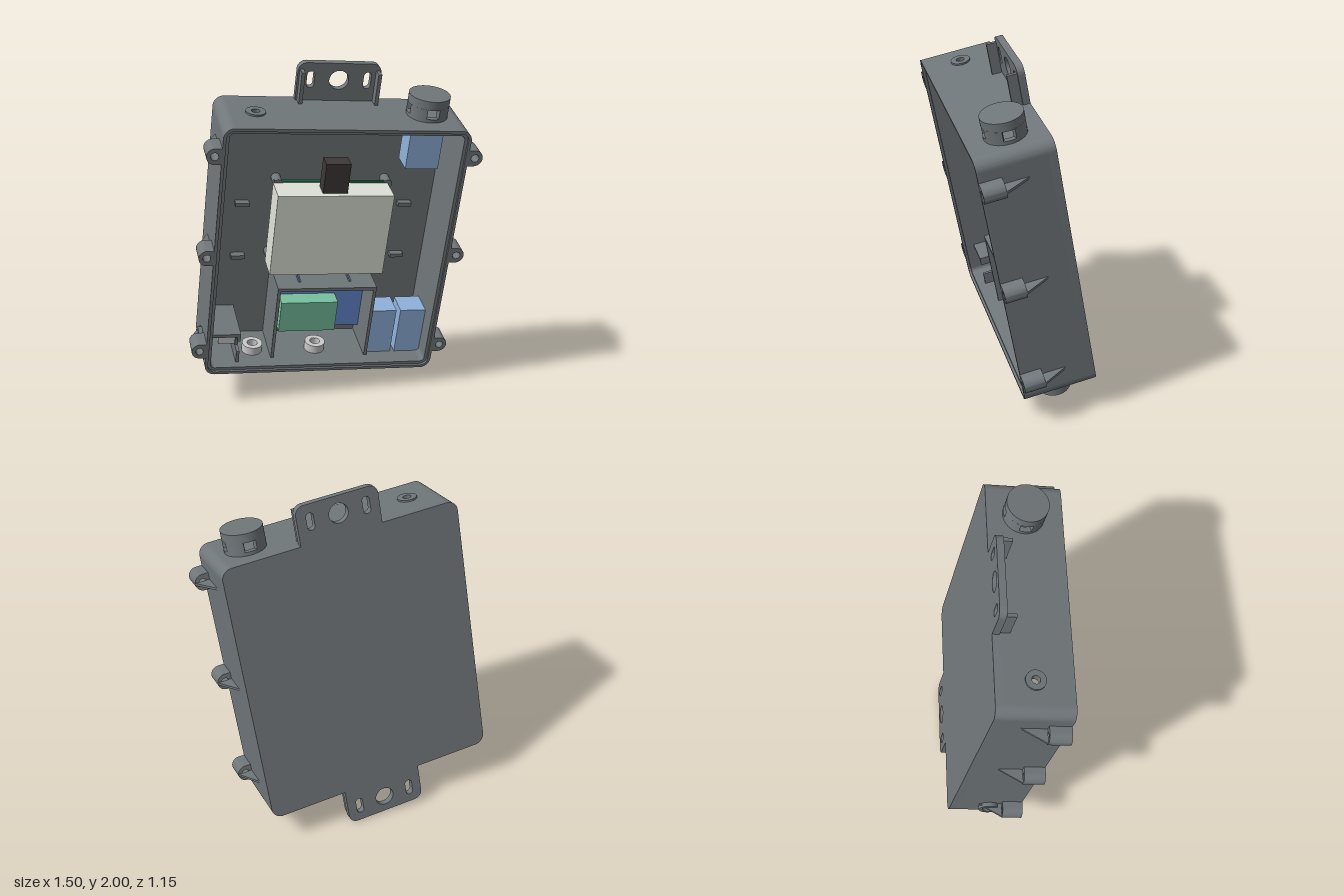
import * as THREE from 'three';
import { toCreasedNormals } from 'three/addons/utils/BufferGeometryUtils.js';

const mat = (color) => new THREE.MeshStandardMaterial({ color });
const M = {
  shell: mat(0x70777a), cream: mat(0xdfe2d8), block: mat(0x3d3836), board: mat(0x1f7a4a),
  blue: mat(0x8fb2dc), panel: mat(0x6488d0), green: mat(0x78c0a0), pale: mat(0xcccccc),
};
// Housing centre, half sizes, wall and corner radius
const CX = 0.037, CY = -0.036, HW = 0.68, HH = 0.783, T = 0.035, R = 0.06;
const BACK = -0.223, FLOOR = -0.18, LIP = 0.18, FRONT = 0.195;

function roundRect(Type, hw, hh, r, cx = 0, cy = 0) {
  const s = new Type();
  s.absarc(cx + hw - r, cy + hh - r, r, 0, Math.PI / 2);
  s.absarc(cx - hw + r, cy + hh - r, r, Math.PI / 2, Math.PI);
  s.absarc(cx - hw + r, cy - hh + r, r, Math.PI, Math.PI * 1.5);
  s.absarc(cx + hw - r, cy - hh + r, r, Math.PI * 1.5, Math.PI * 2);
  s.closePath();
  return s;
}
const circle = (x, y, r) => new THREE.Path().absarc(x, y, r, 0, Math.PI * 2, true);
const extrude = (shape, depth) => toCreasedNormals(
  new THREE.ExtrudeGeometry(shape, { depth, bevelEnabled: false, curveSegments: 16 }), 0.6);

export function createModel() {
  const root = new THREE.Group();
  root.name = 'equipmentEnclosure';
  const body = new THREE.Group();
  body.name = 'tiltedAssembly';
  // Leaning forward and turned sideways
  body.rotation.set(THREE.MathUtils.degToRad(12), THREE.MathUtils.degToRad(-20), 0);
  body.position.y = 1;
  root.add(body);

  const add = (name, geo, m = M.shell, x = 0, y = 0, z = 0, parent = body) => {
    const mesh = new THREE.Mesh(geo, m);
    mesh.name = name;
    mesh.position.set(x, y, z);
    parent.add(mesh);
    return mesh;
  };
  // Box given by its limits
  const box = (name, m, x0, x1, y0, y1, z0, z1) => add(name,
    new THREE.BoxGeometry(x1 - x0, y1 - y0, z1 - z0), m, (x0 + x1) / 2, (y0 + y1) / 2, (z0 + z1) / 2);
  const rectShape = (x0, x1, y0, y1) => new THREE.Shape([
    new THREE.Vector2(x0, y0), new THREE.Vector2(x1, y0), new THREE.Vector2(x1, y1), new THREE.Vector2(x0, y1)]);
  // Hollow upright ring standing at height y
  const ring = (name, x, y, z, r, hole, h, m = M.shell) => {
    const s = new THREE.Shape().absarc(0, 0, r, 0, Math.PI * 2);
    s.holes.push(circle(0, 0, hole));
    return add(name, extrude(s, h).rotateX(-Math.PI / 2), m, x, y, z);
  };

  // Back plate
  add('backPlate', extrude(roundRect(THREE.Shape, HW, HH, R, CX, CY), FLOOR - BACK), M.shell, 0, 0, BACK);

  // Top and bottom walls with round openings [x, z, radius]
  const flatWall = (name, y, holes) => {
    const s = rectShape(CX - HW + R, CX + HW - R, -LIP, -FLOOR);
    holes.forEach(([x, z, r]) => s.holes.push(circle(x, -z, r)));
    add(name, extrude(s, T).rotateX(-Math.PI / 2), M.shell, 0, y, 0);
  };
  const collars = [0.41, 0.59], glands = [-0.34, 0.04];
  flatWall('topWall', CY + HH - T, [[-0.445, -0.01, 0.023]]);
  flatWall('bottomWall', CY - HH, [
    ...collars.map((x) => [x, -0.005, 0.062]), ...glands.map((x) => [x, 0.01, 0.045])]);

  // Side walls, the right one with a cable port
  const port = { y: -0.685, z: 0.005 };
  for (const side of [-1, 1]) {
    const s = rectShape(FLOOR, LIP, CY - HH + R, CY + HH - R);
    if (side < 0) s.holes.push(circle(port.z, port.y, 0.045));
    add('sideWall', extrude(s, T).rotateY(-Math.PI / 2), M.shell, side < 0 ? CX - HW + T : CX + HW);
  }
  ring('sidePort', CX - HW, port.y, port.z, 0.06, 0.04, 0.025).rotation.z = Math.PI / 2;

  // Rounded corners of the wall
  for (let i = 0; i < 4; i++) {
    const s = new THREE.Shape();
    s.absarc(0, 0, R, 0, Math.PI / 2);
    s.absarc(0, 0, R - T, Math.PI / 2, 0, true);
    s.closePath();
    const sx = i === 0 || i === 3 ? 1 : -1, sy = i < 2 ? 1 : -1;
    add('cornerWall', extrude(s, LIP - FLOOR), M.shell, CX + sx * (HW - R), CY + sy * (HH - R), FLOOR)
      .rotation.z = i * Math.PI / 2;
  }
  // Stepped sealing rim
  const rim = roundRect(THREE.Shape, HW, HH, R, CX, CY);
  rim.holes.push(roundRect(THREE.Path, HW - 0.017, HH - 0.017, R - 0.017, CX, CY));
  add('sealingRim', extrude(rim, FRONT - LIP), M.shell, 0, 0, LIP);

  // Screw ears with tapering gussets
  for (const side of [-1, 1]) for (const dy of [-0.62, 0, 0.62]) {
    const ear = new THREE.Group();
    ear.name = 'screwEar';
    ear.position.set(CX + side * HW, CY + dy, 0);
    if (side < 0) ear.rotation.z = Math.PI;
    const s = new THREE.Shape();
    s.moveTo(-0.01, -0.047);
    s.lineTo(0.035, -0.047);
    s.absarc(0.035, 0, 0.047, -Math.PI / 2, Math.PI / 2);
    s.lineTo(-0.01, 0.047);
    s.closePath();
    s.holes.push(circle(0.038, 0, 0.022));
    add('earBarrel', extrude(s, 0.12), M.shell, 0, 0, FRONT - 0.12, ear);
    const g = new THREE.Shape([new THREE.Vector2(0, 0), new THREE.Vector2(0.08, 0), new THREE.Vector2(0, 0.14)]);
    add('earGusset', extrude(g, 0.014).rotateX(-Math.PI / 2), M.shell, 0, -0.007, FRONT - 0.12, ear);
    body.add(ear);
  }

  // Mounting tabs above and below
  for (const side of [1, -1]) {
    const tab = new THREE.Group();
    tab.name = 'mountingTab';
    tab.position.set(CX, CY, BACK);
    const s = new THREE.Shape();
    const top = 1.003, w = 0.235, r = 0.05, y0 = HH - 0.03;
    s.moveTo(-w, y0);
    s.lineTo(w, y0);
    s.absarc(w - r, top - r, r, 0, Math.PI / 2);
    s.absarc(-w + r, top - r, r, Math.PI / 2, Math.PI);
    s.closePath();
    s.holes.push(circle(0, 0.905, 0.055));
    for (const k of [-1, 1]) s.holes.push(roundRect(THREE.Path, 0.021, 0.048, 0.02, k * 0.16, 0.905));
    add('tabPlate', extrude(s, 0.04), M.shell, 0, 0, 0, tab);
    for (const k of [-1, 1]) add('tabRib', new THREE.BoxGeometry(0.02, 0.2, 0.06), M.shell, k * 0.215, 0.865, 0.065, tab);
    if (side < 0) tab.rotation.z = Math.PI;
    body.add(tab);
  }

  // Vent cap with four windows
  const capY = CY + HH, capX = 0.513, capZ = -0.02;
  ring('ventBase', capX, capY - 0.005, capZ, 0.115, 0.085, 0.025);
  for (let i = 0; i < 4; i++) {
    const a = i * Math.PI / 2 + 0.3, b = (i + 1) * Math.PI / 2 - 0.3, s = new THREE.Shape();
    s.absarc(0, 0, 0.115, a, b);
    s.absarc(0, 0, 0.085, b, a, true);
    s.closePath();
    add('ventPillar', extrude(s, 0.055).rotateX(-Math.PI / 2), M.shell, capX, capY + 0.02, capZ);
  }
  add('ventTop', new THREE.CylinderGeometry(0.115, 0.115, 0.05, 40), M.shell, capX, capY + 0.098, capZ);

  // Grommet on the top, cable collars and glands at the bottom
  ring('topGrommet', -0.445, capY, -0.01, 0.055, 0.023, 0.01);
  const floorY = CY - HH + T;
  collars.forEach((x) => ring('cableCollar', x, CY - HH - 0.045, -0.005, 0.088, 0.07, 0.05));
  glands.forEach((x) => {
    ring('glandNut', x, floorY, 0.01, 0.06, 0.03, 0.05, M.pale);
    ring('glandRing', x, CY - HH - 0.01, 0.01, 0.06, 0.045, 0.012);
  });

  // Blue connector bodies
  collars.forEach((x) => box('connectorBody', M.blue, x - 0.065, x + 0.09, floorY, -0.49, -0.08, 0.07));
  box('ventBody', M.blue, 0.42, 0.61, 0.44, CY + HH - T, -0.1, 0.04);

  // Power module on its board and standoffs
  box('powerModule', M.cream, -0.29, 0.378, -0.234, 0.277, -0.1, 0.06);
  box('circuitBoard', M.board, -0.285, 0.395, -0.24, 0.288, -0.115, -0.1);
  box('relayBlock', M.block, -0.03, 0.112, 0.277, 0.459, -0.06, 0.03);
  for (const x of [-0.26, 0.378]) for (const y of [-0.21, 0.27])
    add('standoff', new THREE.CylinderGeometry(0.027, 0.027, 0.085, 20).rotateX(Math.PI / 2), M.shell, x, y, -0.14);
  // Small support posts on the back plate
  for (const k of [-1, 1]) for (const y of [0.11, -0.236])
    box('supportPost', M.shell, CX + k * 0.48 - 0.04, CX + k * 0.48 + 0.04, y - 0.012, y + 0.012, FLOOR, -0.14);

  // Lower bay with slotted roof
  const roof = rectShape(-0.24, 0.345, -0.1, -FLOOR);
  for (const x of [-0.1, 0.2]) roof.holes.push(roundRect(THREE.Path, 0.008, 0.06, 0.007, x, 0.03));
  add('bayRoof', extrude(roof, 0.02).rotateX(-Math.PI / 2), M.shell, 0, -0.324, 0);
  box('bayWall', M.shell, -0.24, -0.222, floorY, -0.324, FLOOR, 0.1);
  box('bayWall', M.shell, 0.327, 0.345, floorY, -0.324, FLOOR, 0.1);
  box('bayBoard', M.panel, -0.222, 0.327, -0.7, -0.324, -0.12, -0.1);
  box('terminalBlock', M.green, -0.186, 0.154, -0.667, -0.468, -0.1, 0);

  // Corner bay around the cable port, wall notched at the front
  const wallX = CX - HW + T;
  box('cornerBayRoof', M.shell, wallX, -0.436, -0.61, -0.59, FLOOR, 0.13);
  box('cornerBayWall', M.shell, -0.454, -0.436, floorY, -0.61, FLOOR, 0.06);
  box('cornerBayWall', M.shell, -0.454, -0.436, floorY, -0.71, 0.06, 0.13);
  box('cornerBayWall', M.shell, -0.454, -0.436, -0.64, -0.61, 0.06, 0.13);
  box('portPlug', M.pale, -0.55, -0.454, -0.71, -0.63, -0.03, 0.05);

  return root;
}
